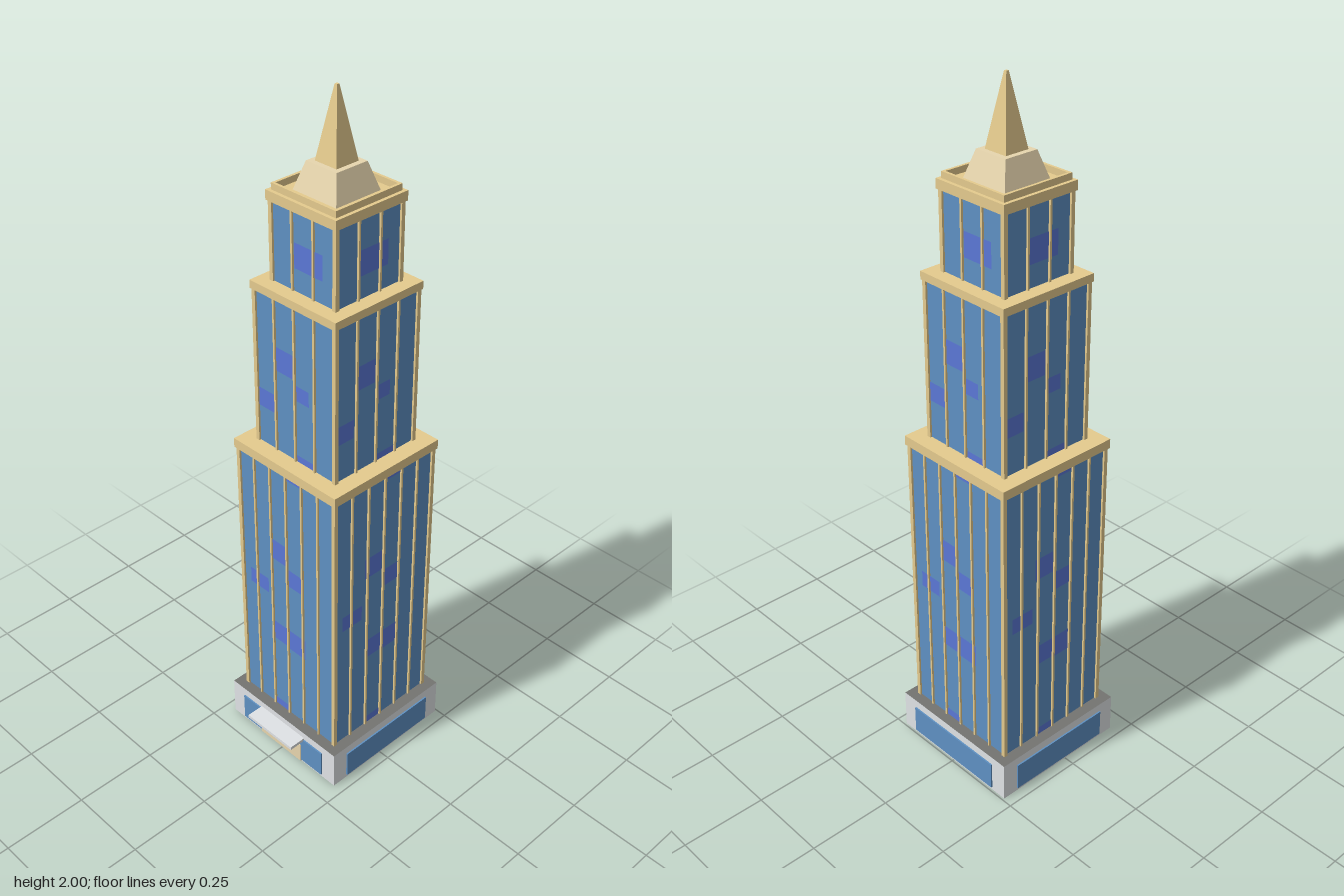
import * as THREE from 'three';

const mat = (name, color) => {
  const m = new THREE.MeshStandardMaterial({ color });
  m.name = name;
  return m;
};

export function createModel() {
  const glass = mat('blue glass', 0x5f91c3);
  const tint = mat('violet glass', 0x5b78d6);
  const tan = mat('tan trim', 0xe5cb8e);
  const cream = mat('cream stone', 0xefddb4);
  const stone = mat('light stone', 0xe0e3e6);
  const dark = mat('dark paving', 0x747471);

  const model = new THREE.Group();
  model.name = 'skyscraper';
  const tower = new THREE.Group();
  tower.name = 'tower';
  tower.position.z = -0.026;
  model.add(tower);

  const add = (parent, name, geometry, material, x = 0, y = 0, z = 0) => {
    const mesh = new THREE.Mesh(geometry, material);
    mesh.name = name;
    mesh.position.set(x, y, z);
    parent.add(mesh);
    return mesh;
  };
  // Box given by its lower and upper heights
  const block = (parent, name, material, w, y0, y1, d = w, x = 0, z = 0) =>
    add(parent, name, new THREE.BoxGeometry(w, y1 - y0, d), material, x, (y0 + y1) / 2, z);
  // Square tapering block with flat faces
  const taper = (name, material, bottom, top, y0, y1) => {
    const geo = new THREE.CylinderGeometry(top * Math.SQRT2, bottom * Math.SQRT2, y1 - y0, 4)
      .rotateY(Math.PI / 4).toNonIndexed();
    geo.computeVertexNormals();
    add(tower, name, geo, material, 0, (y0 + y1) / 2, 0);
  };
  // Calls build once for each of the four facades
  const facades = (name, build) => {
    for (let i = 0; i < 4; i++) {
      const side = new THREE.Group();
      side.name = name + (i + 1);
      side.rotation.y = i * Math.PI / 2;
      tower.add(side);
      build(side);
    }
  };

  // Podium with ground-floor windows, door and canopy
  block(tower, 'podium', [stone, stone, dark, stone, stone, stone], 0.434, 0, 0.12);
  facades('podiumSide', side =>
    block(side, 'groundWindow', glass, 0.334, 0.01, 0.095, 0.008, 0, 0.2175));
  block(tower, 'door', cream, 0.17, 0.006, 0.07, 0.008, -0.002, 0.22);
  block(tower, 'canopy', stone, 0.184, 0.091, 0.101, 0.07, 0, 0.235);

  // Glass tiers: half width, heights, bays, cap, tinted panes as [x0, x1, y0, y1]
  const tiers = [
    { name: 'lowerTier', h: 0.184, y0: 0.12, y1: 0.982, bays: 6, cap: 0.194, top: 1.01,
      panes: [[-0.07, -0.005, 0.67, 0.737], [0.004, 0.058, 0.605, 0.663], [-0.154, -0.08, 0.533, 0.583],
        [-0.064, -0.004, 0.378, 0.442], [0.004, 0.069, 0.373, 0.442], [-0.06, -0.003, 0.12, 0.144],
        [0.003, 0.064, 0.966, 0.982]] },
    { name: 'middleTier', h: 0.145, y0: 1.01, y1: 1.467, bays: 4, cap: 0.154, top: 1.49,
      panes: [[-0.07, -0.005, 1.257, 1.327], [0.004, 0.05, 1.198, 1.243], [-0.14, -0.08, 1.122, 1.178],
        [0.004, 0.07, 1.01, 1.03]] },
    { name: 'upperTier', h: 0.112, y0: 1.49, y1: 1.708, bays: 3, cap: 0.122, top: 1.735,
      panes: [[-0.032, 0.067, 1.553, 1.623]] },
  ];
  for (const t of tiers) {
    block(tower, t.name, glass, t.h * 2, t.y0, t.y1);
    block(tower, t.name + 'Cornice', tan, t.cap * 2, t.y1, t.top);
    facades(t.name + 'Side', side => {
      // Slim fins, with one at each corner
      for (let i = 0; i < t.bays; i++) {
        block(side, 'mullion', tan, i ? 0.006 : 0.012, t.y0, t.y1, 0.012, -t.h + 2 * t.h * i / t.bays, t.h);
      }
      for (const [x0, x1, y0, y1] of t.panes) {
        add(side, 'tintedPane', new THREE.PlaneGeometry(x1 - x0, y1 - y0), tint,
          (x0 + x1) / 2, (y0 + y1) / 2, t.h + 0.001);
      }
    });
  }

  // Roof parapet: a hollow square ring
  const square = (s, r) => s.moveTo(-r, -r).lineTo(r, -r).lineTo(r, r).lineTo(-r, r).closePath();
  const ring = square(new THREE.Shape(), 0.112);
  ring.holes.push(square(new THREE.Path(), 0.104));
  add(tower, 'parapet',
    new THREE.ExtrudeGeometry(ring, { depth: 0.018, bevelEnabled: false }).rotateX(-Math.PI / 2),
    tan, 0, 1.735, 0);

  // Crown and spire
  taper('crown', cream, 0.075, 0.052, 1.735, 1.81);
  taper('spire', tan, 0.037, 0.004, 1.81, 2);
  return model;
}
